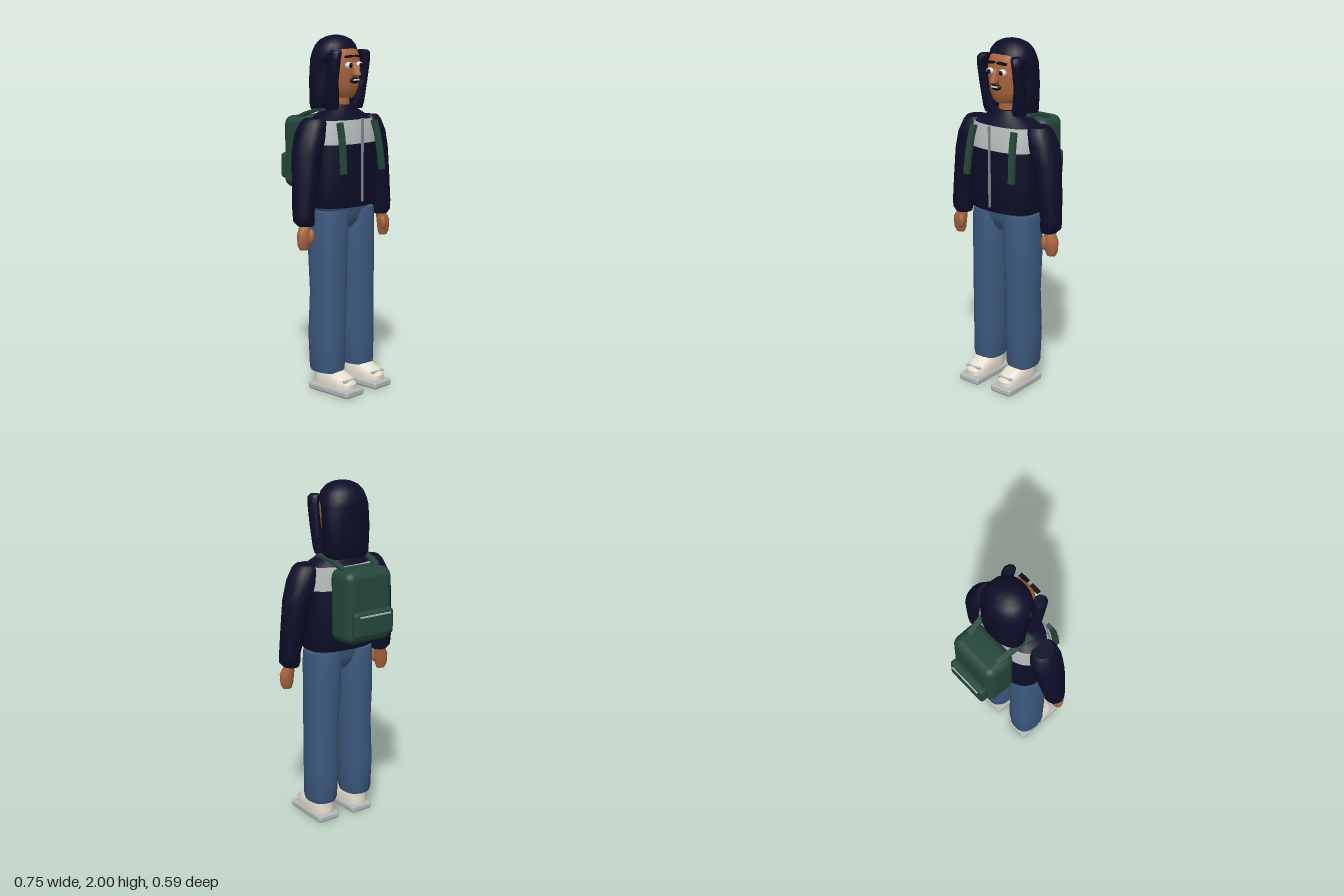
import * as THREE from 'three';
import { toCreasedNormals } from 'three/addons/utils/BufferGeometryUtils.js';
import { RoundedBoxGeometry } from 'three/addons/geometries/RoundedBoxGeometry.js';

const mat = (name, color) => {
  const m = new THREE.MeshStandardMaterial({ color });
  m.name = name;
  return m;
};

// Closed skin over horizontal superellipse rings [y, cx, cz, rx, rz], listed upwards.
function loft(rings, sides = 16, power = 2, crease = 0.75) {
  const pos = [], idx = [];
  const squash = (v) => Math.sign(v) * Math.pow(Math.abs(v), 2 / power);
  for (const [y, cx, cz, rx, rz] of rings) {
    for (let i = 0; i < sides; i++) {
      const a = (i / sides) * Math.PI * 2;
      pos.push(cx + rx * squash(Math.cos(a)), y, cz + rz * squash(Math.sin(a)));
    }
  }
  const last = rings.length - 1, base = rings.length * sides;
  for (const r of [rings[0], rings[last]]) pos.push(r[1], r[0], r[2]);
  for (let i = 0; i < sides; i++) {
    const j = (i + 1) % sides;
    for (let k = 0; k < last; k++) {
      const a = k * sides + i, b = k * sides + j;
      idx.push(a, a + sides, b, b, a + sides, b + sides);
    }
    idx.push(base, i, j, base + 1, last * sides + j, last * sides + i);
  }
  const g = new THREE.BufferGeometry();
  g.setAttribute('position', new THREE.Float32BufferAttribute(pos, 3));
  g.setIndex(idx);
  return toCreasedNormals(g, crease);
}

const ball = (rx, ry, rz) => new THREE.SphereGeometry(1, 14, 10).scale(rx, ry, rz);
const rbox = (w, h, d, r) => new RoundedBoxGeometry(w, h, d, 3, r);

// Flat webbing swept along points in the y-z plane, with a little drift in x.
function webbing(points, width, thick) {
  const pos = [], idx = [];
  points.forEach(([x, y, z], i) => {
    const p = points[Math.max(i - 1, 0)], q = points[Math.min(i + 1, points.length - 1)];
    const len = Math.hypot(q[1] - p[1], q[2] - p[2]);
    const ny = (-(q[2] - p[2]) / len) * thick / 2, nz = ((q[1] - p[1]) / len) * thick / 2;
    for (const [sx, sn] of [[-1, -1], [1, -1], [1, 1], [-1, 1]]) {
      pos.push(x + sx * width / 2, y + sn * ny, z + sn * nz);
    }
  });
  const n = points.length;
  for (let k = 0; k < n - 1; k++) {
    for (let i = 0; i < 4; i++) {
      const a = k * 4 + i, b = k * 4 + (i + 1) % 4;
      idx.push(a, b, a + 4, b, b + 4, a + 4);
    }
  }
  const e = (n - 1) * 4;
  idx.push(0, 2, 1, 0, 3, 2, e, e + 1, e + 2, e, e + 2, e + 3);
  const g = new THREE.BufferGeometry();
  g.setAttribute('position', new THREE.Float32BufferAttribute(pos, 3));
  g.setIndex(idx);
  return toCreasedNormals(g, 0.6);
}

export function createModel() {
  const model = new THREE.Group();
  model.name = 'student';
  const navy = mat('navy', 0x0d0d28), skin = mat('skin', 0xa8643e), silver = mat('silver', 0xb2b8b8);
  const green = mat('green', 0x25463b), denim = mat('denim', 0x3d5a80), cream = mat('cream', 0xe6decf);
  const white = mat('white', 0xf2f2f2), black = mat('black', 0x0c0a0c), steel = mat('steel', 0x83888c);
  green.side = THREE.DoubleSide;

  const add = (name, geo, material, x = 0, y = 0, z = 0, parent = model) => {
    const m = new THREE.Mesh(geo, material);
    m.name = name;
    m.position.set(x, y, z);
    parent.add(m);
    return m;
  };

  // Jacket: body, reflective chest band, yoke and zip
  const hem = [1.06, 0, 0.073, 0.212, 0.142], bandLow = [1.41, 0, 0.073, 0.222, 0.142];
  const bandTop = [1.54, 0, 0.066, 0.208, 0.118];
  add('jacketBody', loft([hem, [1.08, 0, 0.073, 0.218, 0.146], [1.25, 0, 0.073, 0.222, 0.147], bandLow], 24, 2.5), navy);
  add('chestBand', loft([bandLow, [1.48, 0, 0.071, 0.218, 0.134], bandTop], 24, 2.5), silver);
  add('jacketYoke', loft([bandTop, [1.56, 0, 0.064, 0.17, 0.105], [1.59, 0, 0.06, 0.115, 0.09],
    [1.62, 0, 0.06, 0.075, 0.07]], 24, 2.3), navy);
  add('jacketZip', new THREE.BoxGeometry(0.009, 0.46, 0.012), steel, 0, 1.32, 0.23);

  // Pelvis
  add('pelvis', loft([[0.93, 0, 0.073, 0.04, 0.06], [0.96, 0, 0.073, 0.075, 0.085], [1.01, 0, 0.073, 0.16, 0.1],
    [1.07, 0, 0.073, 0.195, 0.11]], 18, 2.3), denim);

  // Head and neck
  add('neck', new THREE.CylinderGeometry(0.05, 0.052, 0.12, 14), skin, 0, 1.64, 0.065);
  add('face', loft([[1.66, 0, 0.085, 0.05, 0.05], [1.68, 0, 0.08, 0.072, 0.068], [1.72, 0, 0.075, 0.09, 0.082],
    [1.8, 0, 0.07, 0.1, 0.095], [1.88, 0, 0.07, 0.1, 0.093], [1.915, 0, 0.065, 0.09, 0.085],
    [1.935, 0, 0.06, 0.07, 0.06]], 20, 2.5), skin);
  add('nose', loft([[1.772, 0, 0.175, 0.012, 0.022], [1.785, 0, 0.18, 0.021, 0.034], [1.8, 0, 0.178, 0.018, 0.033],
    [1.855, 0, 0.165, 0.009, 0.012]], 10), skin);
  add('mouth', ball(0.036, 0.017, 0.014), black, 0, 1.754, 0.17);
  add('teeth', new THREE.BoxGeometry(0.042, 0.008, 0.005), white, 0, 1.757, 0.184);

  // Long hair behind the face
  add('hair', loft([[1.585, 0, -0.015, 0.125, 0.07], [1.61, 0, -0.01, 0.14, 0.084], [1.75, 0, -0.01, 0.146, 0.085],
    [1.87, 0, 0.002, 0.141, 0.098], [1.905, 0, 0.022, 0.135, 0.117], [1.945, 0, 0.026, 0.12, 0.104],
    [1.975, 0, 0.028, 0.093, 0.08], [1.993, 0, 0.03, 0.055, 0.047], [2, 0, 0.03, 0.02, 0.018]], 22, 2.15), navy);

  // Mirrored parts: s = +1 is the model's left
  for (const s of [1, -1]) {
    const side = s > 0 ? 'left' : 'right';
    const mirror = (rings) => rings.map(([y, x, z, rx, rz]) => [y, s * x, z, rx, rz]);

    add(side + 'HairLock', loft(mirror([[1.595, 0.098, 0.095, 0.036, 0.03], [1.63, 0.102, 0.1, 0.039, 0.036],
      [1.75, 0.118, 0.115, 0.03, 0.036], [1.87, 0.12, 0.132, 0.029, 0.04], [1.905, 0.115, 0.134, 0.032, 0.04],
      [1.92, 0.108, 0.132, 0.026, 0.032]]), 9), navy);

    // Eyes and brows
    add(side + 'Eye', ball(0.024, 0.018, 0.015), white, s * 0.043, 1.837, 0.165);
    add(side + 'Pupil', ball(0.012, 0.013, 0.006), black, s * 0.041, 1.836, 0.179);
    add(side + 'Brow', new THREE.BoxGeometry(0.056, 0.011, 0.022), black, s * 0.04, 1.885, 0.168).rotation.z = -s * 0.08;

    // Sleeve
    add(side + 'Sleeve', loft(mirror([[0.975, 0.305, 0.09, 0.045, 0.048], [1.0, 0.315, 0.088, 0.06, 0.058],
      [1.05, 0.316, 0.085, 0.06, 0.062], [1.2, 0.293, 0.078, 0.073, 0.075], [1.36, 0.272, 0.07, 0.082, 0.086],
      [1.46, 0.248, 0.068, 0.08, 0.092], [1.53, 0.222, 0.07, 0.07, 0.078], [1.552, 0.215, 0.072, 0.056, 0.06]]), 14), navy);

    // Hand and thumb
    add(side + 'Hand', loft(mirror([[0.845, 0.328, 0.1, 0.026, 0.02], [0.87, 0.33, 0.1, 0.038, 0.029],
      [0.93, 0.328, 0.1, 0.043, 0.034], [0.965, 0.318, 0.096, 0.034, 0.032], [0.99, 0.31, 0.092, 0.03, 0.03]]), 12), skin);
    add(side + 'Thumb', ball(0.02, 0.042, 0.02), skin, s * 0.3, 0.918, 0.125).rotation.z = s * 0.08;

    // Trouser leg
    add(side + 'TrouserLeg', loft(mirror([[0.12, 0.122, 0.08, 0.08, 0.095], [0.14, 0.122, 0.078, 0.086, 0.102],
      [0.33, 0.119, 0.073, 0.092, 0.108], [0.58, 0.115, 0.08, 0.094, 0.103], [0.8, 0.112, 0.073, 0.098, 0.112],
      [0.98, 0.108, 0.073, 0.1, 0.115], [1.04, 0.108, 0.073, 0.096, 0.11]]), 18, 2.4), denim);

    // Shoe: sole, body, vamp strip and toe trim
    const shoe = new THREE.Group();
    shoe.name = side + 'Shoe';
    shoe.position.x = s * 0.118;
    model.add(shoe);
    add('sole', rbox(0.142, 0.042, 0.306, 0.014), silver, 0, 0.022, 0.142, shoe);
    add('shoeBody', loft([[0.04, 0, 0.138, 0.066, 0.138], [0.07, 0, 0.138, 0.068, 0.138], [0.095, 0, 0.128, 0.065, 0.124],
      [0.12, 0, 0.095, 0.058, 0.093], [0.142, 0, 0.078, 0.05, 0.075]], 20, 2.8), cream, 0, 0, 0, shoe);
    add('toeTrim', rbox(0.1, 0.016, 0.02, 0.006), silver, 0, 0.088, 0.246, shoe);

    // Backpack straps over the shoulder and down the chest
    add(side + 'ShoulderStrap', webbing([[s * 0.108, 1.545, -0.15], [s * 0.118, 1.57, -0.08], [s * 0.128, 1.59, 0],
      [s * 0.137, 1.595, 0.06]], 0.032, 0.016), green);
    add(side + 'ChestStrap', webbing([[s * 0.14, 1.53, 0.19], [s * 0.146, 1.46, 0.21], [s * 0.152, 1.36, 0.226],
      [s * 0.158, 1.255, 0.236]], 0.034, 0.022), green);
  }

  // Backpack with front pocket
  add('backpack', rbox(0.306, 0.41, 0.19, 0.05), green, 0, 1.345, -0.155);
  add('backpackPocket', rbox(0.256, 0.145, 0.05, 0.018), green, 0, 1.26, -0.264);
  add('pocketZip', new THREE.BoxGeometry(0.2, 0.008, 0.008), silver, 0, 1.31, -0.292);

  return model;
}
